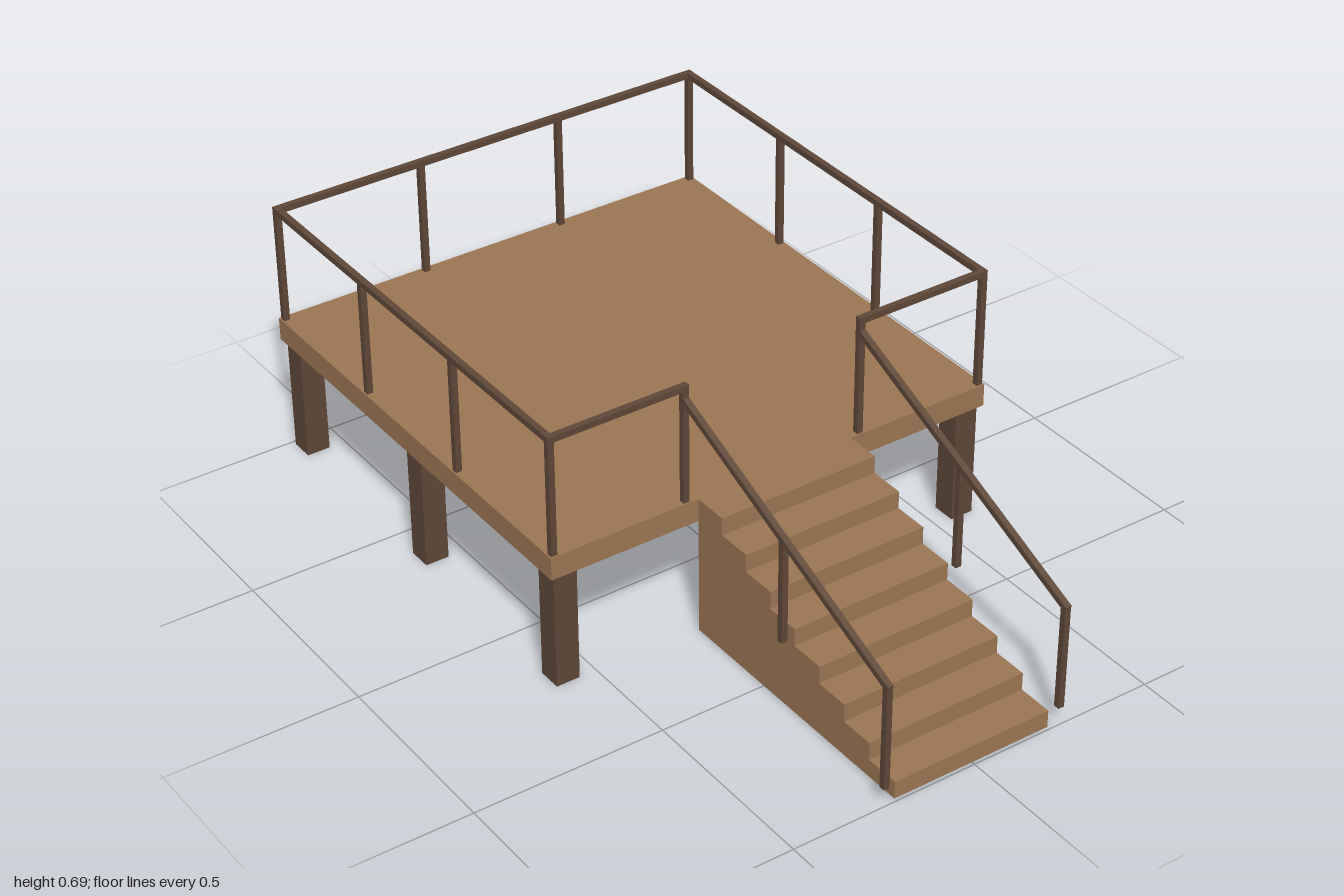
import * as THREE from 'three';

export function createModel() {
  const model = new THREE.Group();
  model.name = 'raisedDeck';
  const plank = new THREE.MeshStandardMaterial({ color: 0x9b7653 });
  plank.name = 'plankBrown';
  const timber = new THREE.MeshStandardMaterial({ color: 0x5e4737 });
  timber.name = 'darkTimber';

  const deckTop = 0.374, deckBase = 0.313, back = -1, front = 0.24, halfW = 0.62;
  const bar = 0.016;

  const box = (name, material, size, position) => {
    const mesh = new THREE.Mesh(new THREE.BoxGeometry(...size), material);
    mesh.name = name;
    mesh.position.set(...position);
    model.add(mesh);
    return mesh;
  };
  // Square bar between two points, along x or in the yz plane
  const rail = (name, a, b) => {
    const from = new THREE.Vector3(...a), to = new THREE.Vector3(...b);
    const mid = from.clone().add(to).multiplyScalar(0.5);
    const mesh = box(name, timber, [bar, bar, from.distanceTo(to) + bar], mid.toArray());
    mesh.lookAt(to);
  };
  const upright = (name, x, z, y0, y1) =>
    box(name, timber, [bar, y1 - y0, bar], [x, (y0 + y1) / 2, z]);

  // Platform
  box('platform', plank, [halfW * 2, deckTop - deckBase, front - back],
    [0, (deckTop + deckBase) / 2, (front + back) / 2]);

  // Support legs
  for (const x of [-0.577, 0.577])
    for (const z of [0.198, -0.38, -0.956])
      box('supportLeg', timber, [0.0625, deckBase, 0.0625], [x, deckBase / 2, z]);

  // Solid staircase, extruded from its stepped side profile
  const steps = 8, stairFront = 0.991;
  const rise = deckTop / steps, run = (stairFront - front) / steps;
  const profile = new THREE.Shape();
  profile.moveTo(-front, 0);
  profile.lineTo(-stairFront, 0);
  for (let i = 0; i < steps; i++) {
    profile.lineTo(-stairFront + i * run, (i + 1) * rise);
    profile.lineTo(-stairFront + (i + 1) * run, (i + 1) * rise);
  }
  profile.closePath();
  const stairW = 0.436;
  const stairs = new THREE.Mesh(
    new THREE.ExtrudeGeometry(profile, { depth: stairW, bevelEnabled: false }), plank);
  stairs.name = 'staircase';
  stairs.rotation.y = Math.PI / 2;
  stairs.position.x = -stairW / 2;
  model.add(stairs);

  // Deck railing
  const rx = 0.608, zb = -0.987, zf = 0.228, railY = 0.685, gateX = 0.248;
  rail('backRail', [-rx, railY, zb], [rx, railY, zb]);
  for (const x of [-rx / 3, rx / 3]) upright('backRailPost', x, zb, deckTop, railY);

  for (const s of [-1, 1]) {
    rail('sideRail', [s * rx, railY, zb], [s * rx, railY, zf]);
    rail('frontRail', [s * gateX, railY, zf], [s * rx, railY, zf]);
    for (let i = 0; i < 4; i++)
      upright('sideRailPost', s * rx, zb + (zf - zb) * i / 3, deckTop, railY);
    upright('gatePost', s * gateX, zf, deckTop, railY);

    // Sloping stair handrail
    const z0 = 0.992, y0 = 0.327, y1 = 0.654;
    rail('stairRail', [s * gateX, y0, z0], [s * gateX, y1, zf]);
    upright('stairRailPost', s * gateX, z0, 0.047, y0);
    upright('stairRailPost', s * gateX, (z0 + zf) / 2, 0.211, (y0 + y1) / 2);
  }
  return model;
}
